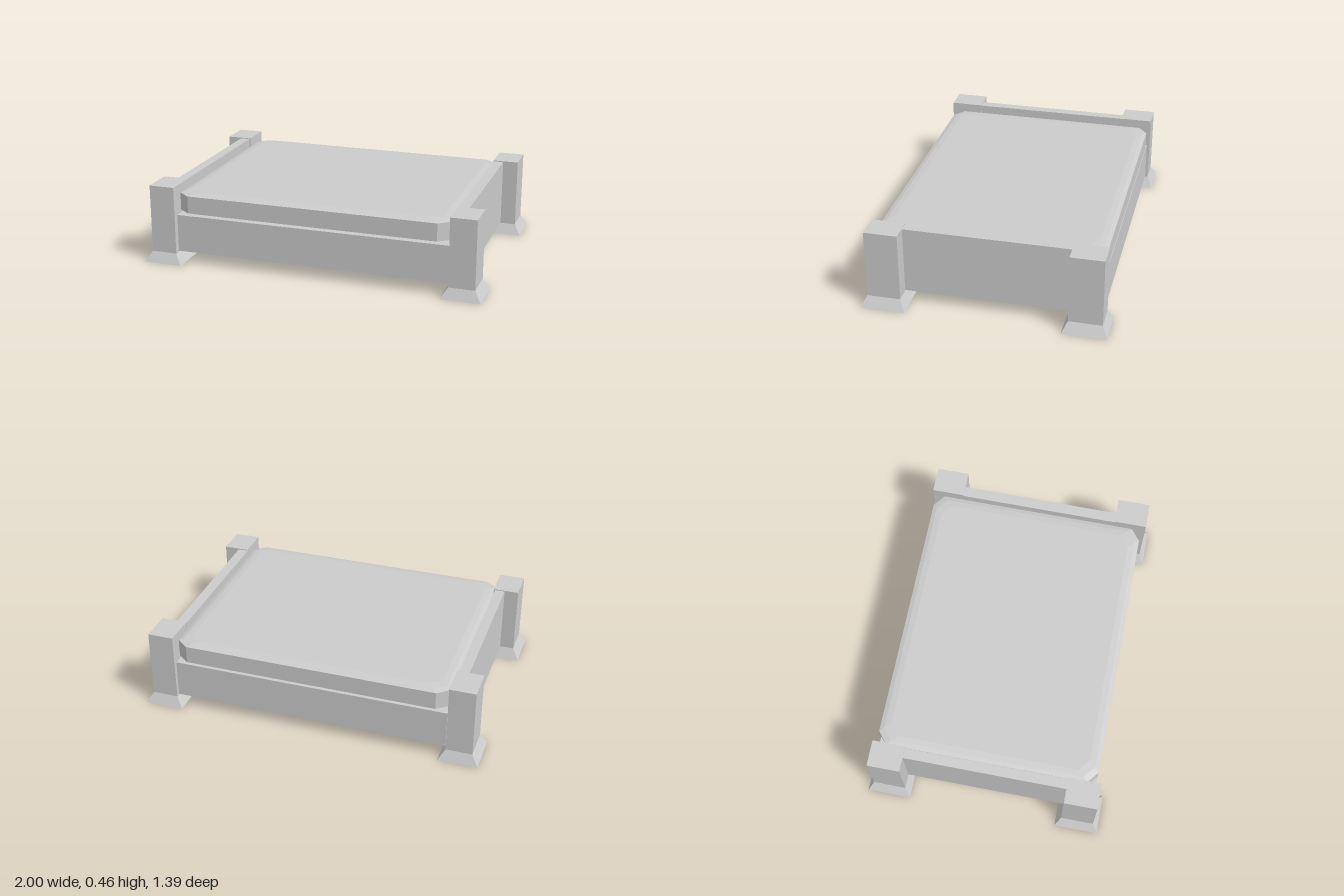
import * as THREE from 'three';

const grey = new THREE.MeshStandardMaterial({ color: 0xcccccc });
grey.name = 'plain grey';
grey.flatShading = true;

function add(group, name, geometry) {
  const mesh = new THREE.Mesh(geometry, grey);
  mesh.name = name;
  group.add(mesh);
}

// Box given by its limits on each axis
function block(x0, x1, y0, y1, z0, z1) {
  return new THREE.BoxGeometry(x1 - x0, y1 - y0, z1 - z0)
    .translate((x0 + x1) / 2, (y0 + y1) / 2, (z0 + z1) / 2);
}

// Chamfered-corner slab from stacked rings of [inset, y]
function cushion(hx, hz, cx, cz, rings) {
  const pos = [], idx = [];
  for (const [inset, y] of rings) {
    const x = hx - inset, z = hz - inset;
    const ring = [[x, cz - z], [x, z - cz], [x - cx, z], [cx - x, z],
      [-x, z - cz], [-x, cz - z], [cx - x, -z], [x - cx, -z]];
    for (const [px, pz] of ring) pos.push(px, y, pz);
  }
  const last = (rings.length - 1) * 8;
  for (let r = 0; r < last; r += 8) {
    for (let i = 0; i < 8; i++) {
      const a = r + i, b = r + (i + 1) % 8;
      idx.push(a, a + 8, b, b, a + 8, b + 8);
    }
  }
  for (let i = 1; i < 7; i++) {
    idx.push(0, i, i + 1, last, last + i + 1, last + i);
  }
  const g = new THREE.BufferGeometry();
  g.setAttribute('position', new THREE.Float32BufferAttribute(pos, 3));
  g.setIndex(idx);
  const flat = g.toNonIndexed();
  // the rings run clockwise seen from above, so check the winding of the underside
  const p = flat.attributes.position;
  flat.computeVertexNormals();
  if (flat.attributes.normal.getY(p.count - 1) < 0) {
    for (let i = 0; i < p.count; i += 3) {
      const a = new THREE.Vector3().fromBufferAttribute(p, i);
      const b = new THREE.Vector3().fromBufferAttribute(p, i + 1);
      p.setXYZ(i, b.x, b.y, b.z);
      p.setXYZ(i + 1, a.x, a.y, a.z);
    }
    flat.computeVertexNormals();
  }
  return flat;
}

// Foot that widens towards the floor
function flaredFoot(x, z) {
  const g = new THREE.BoxGeometry(0.15, 0.06, 0.19).toNonIndexed();
  const p = g.attributes.position;
  for (let i = 0; i < p.count; i++) {
    if (p.getY(i) < 0) {
      p.setX(i, p.getX(i) + Math.sign(p.getX(i)) * 0.039);
      p.setZ(i, p.getZ(i) + Math.sign(p.getZ(i)) * 0.032);
    }
  }
  g.computeVertexNormals();
  return g.translate(x, 0.03, z);
}

export function createModel() {
  const group = new THREE.Group();
  group.name = 'lowBed';

  // Corner posts on flared feet
  for (const sx of [-1, 1]) {
    for (const sz of [-1, 1]) {
      const x = sx * 0.885, z = sz * 0.566;
      add(group, 'cornerPost', block(x - 0.075, x + 0.075, 0.06, 0.46, z - 0.095, z + 0.095));
      add(group, 'flaredFoot', flaredFoot(x, z));
    }
  }

  // Side panels between the posts
  add(group, 'rightPanel', block(-0.877, -0.818, 0.065, 0.455, -0.475, 0.473));
  add(group, 'leftPanel', block(0.808, 0.87, 0.065, 0.455, -0.475, 0.473));

  // Solid base and the bevelled mattress on it
  add(group, 'base', block(-0.805, 0.805, 0.07, 0.29, -0.645, 0.635));
  const mattress = cushion(0.806, 0.64, 0.07, 0.055, [
    [0.06, 0.293], [0.025, 0.297], [0, 0.306],
    [0, 0.409], [0.025, 0.417], [0.06, 0.421]]);
  add(group, 'mattress', mattress.translate(0, 0, -0.005));
  return group;
}
